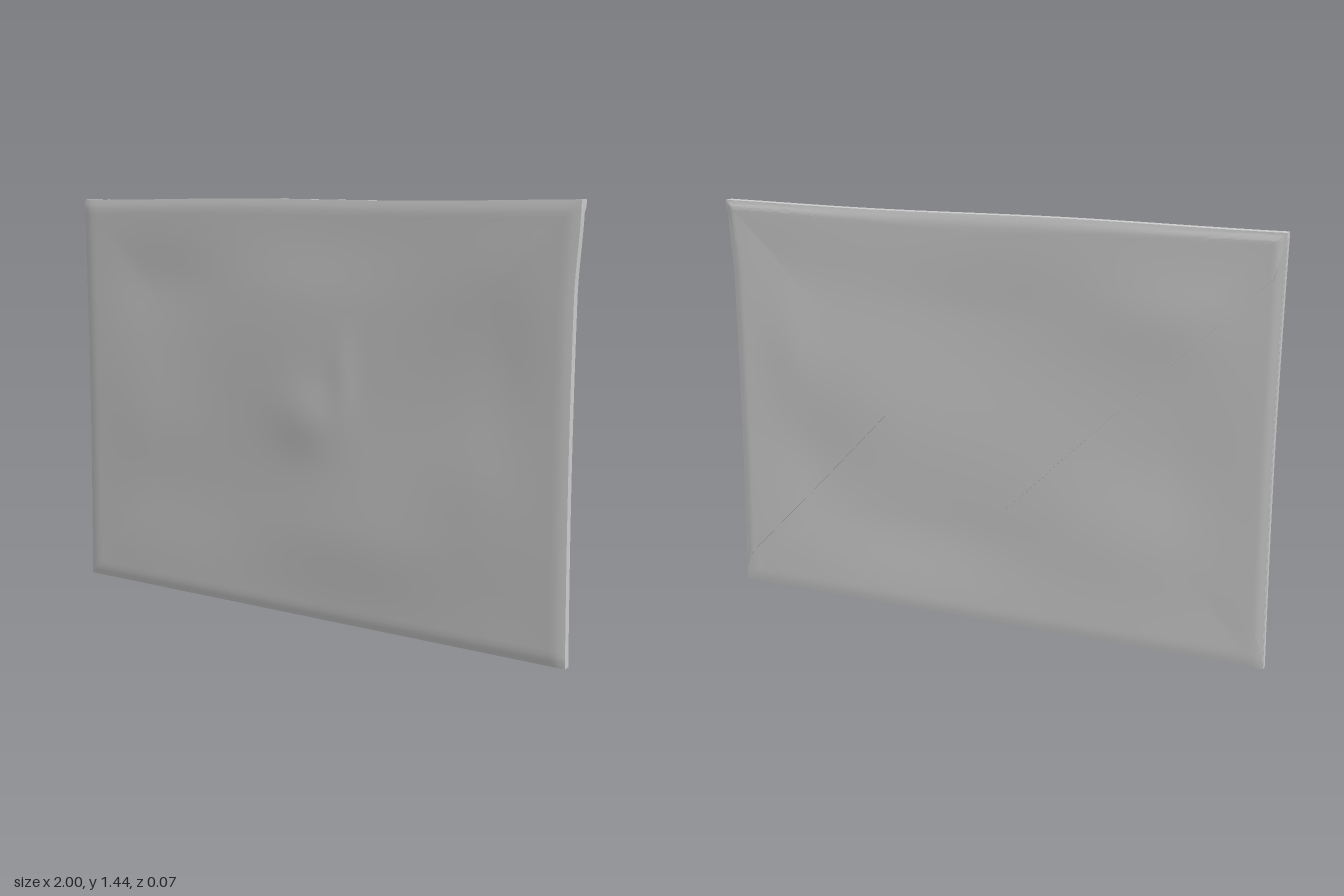
import * as THREE from 'three';
import { toCreasedNormals } from 'three/addons/utils/BufferGeometryUtils.js';

const { lerp, smoothstep } = THREE.MathUtils;
const H = 1.44;

// Soft round dent or bump centred on (cx, cy)
const bump = (x, y, cx, cy, rx, ry, h) =>
  h * Math.exp(-(((x - cx) / rx) ** 2) - ((y - cy) / ry) ** 2);

// Gentle warping of the paper, shared by every layer
function warp(x, y) {
  const edge = smoothstep(Math.min(1 - Math.abs(x), y, H - y), 0, 0.35);
  return 0.004 * x * (y / H) + edge * (0.004
    + 0.004 * Math.sin(5.2 * x + 1.8 * y)
    + 0.003 * Math.sin(7 * y - 2.5 * x + 0.6)
    + bump(x, y, -0.6, 0.6, 0.28, 0.2, 0.005)
    + bump(x, y, 0.68, 0.55, 0.2, 0.2, 0.005)
    + bump(x, y, 0.8, 0.95, 0.12, 0.2, -0.005)
    + bump(x, y, -0.65, 1.15, 0.3, 0.15, -0.004));
}

// The tip of the flap presses a V-shaped bulge through the front
const imprint = (x, y) => bump(x, y, 0.03, 0.7, 0.14, 0.12, 0.009)
  + bump(x, y, 0.17, 0.85, 0.05, 0.13, 0.004);

// Outline wobble, then layer height with softly pinched borders
function place(x, y, level) {
  const border = Math.min(1 - Math.abs(x), y, H - y);
  const pinch = lerp(0.72, 1, smoothstep(border, 0, 0.03));
  const side = 0.007 * Math.sin(Math.PI * y / H) + (x > 0 ? 0.012 * (1 - smoothstep(y, 1.15, 1.42)) : 0);
  const px = x * (1 - side);
  const py = y + (y / H) * 0.003 * Math.cos(4.5 * x + 1.2);
  const z = warp(x, y) + level * pinch + (level > 0 ? imprint(x, y) : 0);
  return [px, py, z];
}

// Closed sheet spanning x0..x1 between the curves lo(x) and hi(x)
function sheet(name, x0, x1, lo, hi, back, front, nx, ny) {
  const geo = new THREE.BoxGeometry(1, 1, 1, nx, ny, 2);
  const p = geo.attributes.position;
  for (let i = 0; i < p.count; i++) {
    const x = lerp(x0, x1, p.getX(i) + 0.5);
    const y = lerp(lo(x), hi(x), p.getY(i) + 0.5);
    p.setXYZ(i, ...place(x, y, lerp(back, front, p.getZ(i) + 0.5)));
  }
  const mesh = new THREE.Mesh(toCreasedNormals(geo, 0.7),
    new THREE.MeshStandardMaterial({ color: 0xcccccc }));
  mesh.name = name;
  return mesh;
}

// Lower edge of the closing flap: straight sides, round tip, clipped corners
function flapEdge(x) {
  const a = Math.abs(x);
  if (a > 0.97) return lerp(1.3, 1.42, (a - 0.97) / 0.03);
  const r = 0.085;
  return a < r ? 0.375 + r / 2 + a * a / (2 * r) - 0.03 : 0.345 + a * (0.955 / 0.97) + (0.97 - a) * 0.0015;
}

// Seam between the side flaps and the bottom flap
function seam(x) {
  const a = Math.abs(x);
  return a > 0.975 ? lerp(0.11, 0.02, (a - 0.975) / 0.025) : 0.11 + (0.975 - a) * 1.03;
}

export function createModel() {
  const envelope = new THREE.Group();
  envelope.name = 'envelope';

  // Front panel together with the bottom flap layer
  envelope.add(sheet('body', -1, 1, () => 0, () => H, -0.012, 0.023, 110, 80));

  // Side flaps, tucked beneath the closing flap
  const sideTop = (x) => Math.min(flapEdge(x) + 0.08, 1.42);
  envelope.add(sheet('leftSideFlap', 0.36, 0.998, seam, sideTop, -0.018, -0.01, 60, 50));
  envelope.add(sheet('rightSideFlap', -0.998, -0.36, seam, sideTop, -0.018, -0.01, 60, 50));

  // Large closing flap folded down from the top edge
  envelope.add(sheet('closingFlap', -1, 1, flapEdge, () => H, -0.027, -0.011, 200, 50));

  return envelope;
}
